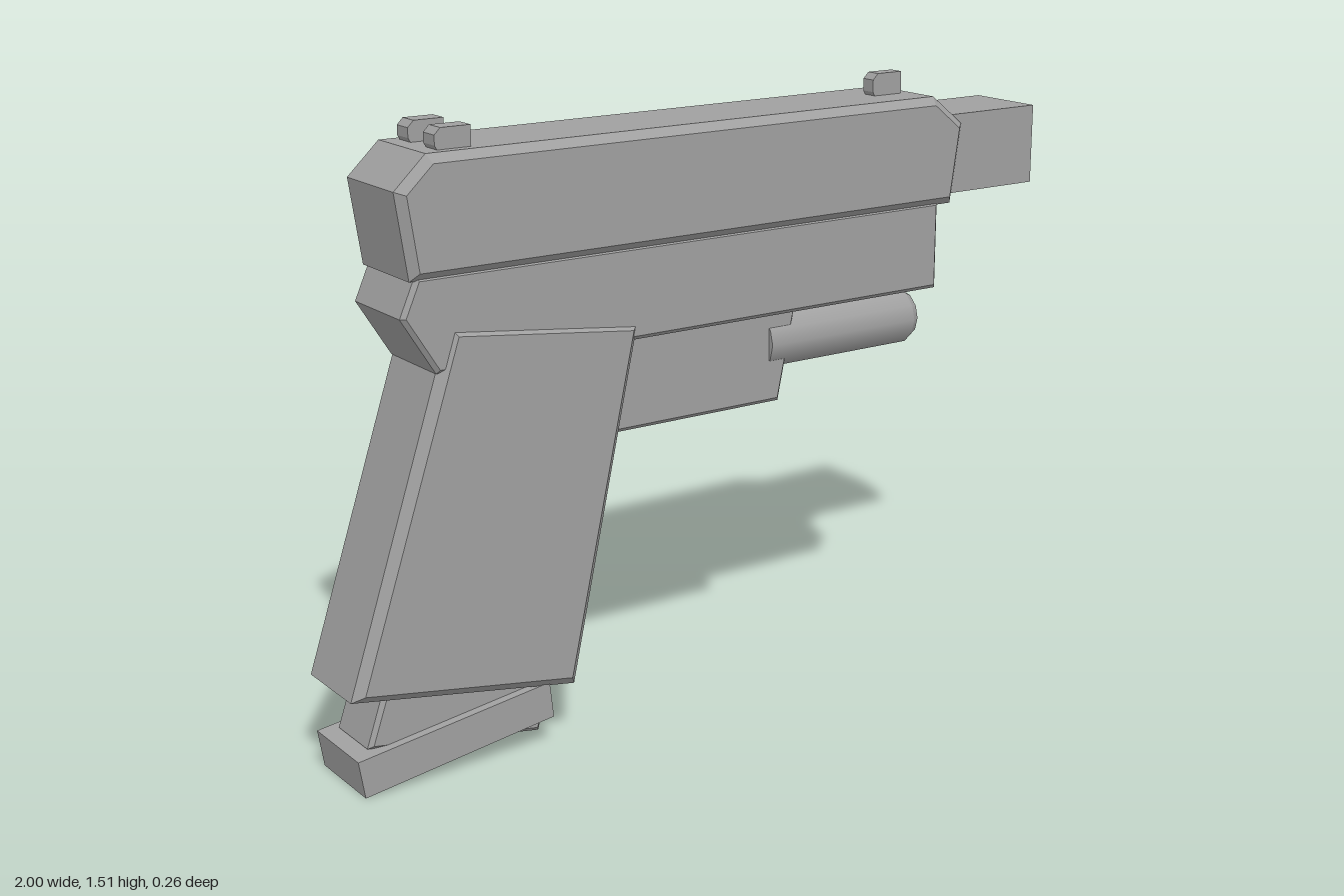
import * as THREE from 'three';

const gray = new THREE.MeshStandardMaterial({ color: 0xa0a0a0 });
gray.name = 'plain gray';

// Side profile extruded symmetrically about z, with an inward chamfer
function plate(name, points, half, bevel) {
  const shape = new THREE.Shape(points.map(([x, y]) => new THREE.Vector2(x, y)));
  const geo = new THREE.ExtrudeGeometry(shape, {
    depth: 2 * (half - bevel),
    bevelEnabled: bevel > 0,
    bevelThickness: bevel,
    bevelSize: bevel,
    bevelOffset: -bevel,
    bevelSegments: 1,
  });
  geo.translate(0, 0, bevel - half);
  const mesh = new THREE.Mesh(geo, gray);
  mesh.name = name;
  return mesh;
}

// Small sight block with a tapered rear end
function sight(name, x, z, half, top) {
  const s = plate(name, [
    [x - 0.045, 1.465], [x - 0.03, 1.44], [x + 0.045, 1.44],
    [x + 0.045, top], [x - 0.03, top], [x - 0.045, top - 0.015],
  ], half, 0);
  s.position.z = z;
  return s;
}

export function createModel() {
  const model = new THREE.Group();
  model.name = 'model';

  // Upper slide
  model.add(plate('slide', [
    [-0.82, 1.18], [0.72, 1.18], [0.75, 1.38], [0.655, 1.455], [-0.77, 1.455], [-0.85, 1.38],
  ], 0.128, 0.02));

  // Square barrel block
  const barrel = new THREE.Mesh(new THREE.BoxGeometry(0.4, 0.2, 0.208), gray);
  barrel.name = 'barrel';
  barrel.position.set(0.8, 1.303, 0);
  model.add(barrel);

  // Lower frame
  model.add(plate('frame', [
    [-0.76, 0.965], [0.68, 0.965], [0.68, 1.19], [-0.805, 1.19], [-0.845, 1.1],
  ], 0.115, 0.01));

  // Slanted grip
  model.add(plate('grip', [
    [-1.0, 0.24], [-0.415, 0.145], [-0.225, 1.01], [-0.725, 1.07],
  ], 0.123, 0.022));

  // Insert and base below the grip
  model.add(plate('gripInsert', [
    [-0.95, 0.105], [-0.5, 0.035], [-0.44, 0.24], [-0.88, 0.31],
  ], 0.082, 0.01));
  model.add(plate('basePlate', [
    [-0.975, 0.003], [-0.475, 0.075], [-0.485, 0.165], [-0.99, 0.095],
  ], 0.105, 0));

  // Block under the frame
  model.add(plate('underBlock', [
    [-0.32, 0.728], [0.225, 0.728], [0.28, 0.99], [-0.32, 0.99],
  ], 0.058, 0.01));

  // Round tube with chamfered front end
  const tube = new THREE.Group();
  tube.name = 'tube';
  const body = new THREE.Mesh(new THREE.CylinderGeometry(0.073, 0.073, 0.455, 12), gray);
  body.name = 'tubeBody';
  const tip = new THREE.Mesh(new THREE.CylinderGeometry(0.062, 0.073, 0.02, 12), gray);
  tip.name = 'tubeTip';
  tip.position.y = 0.2375;
  tube.add(body, tip);
  tube.rotation.z = -Math.PI / 2;
  tube.position.set(0.4175, 0.877, 0);
  model.add(tube);

  // Sights
  for (const side of [-1, 1]) {
    model.add(sight(side > 0 ? 'rearSightRight' : 'rearSightLeft', -0.69, side * 0.06, 0.025, 1.503));
  }
  model.add(sight('frontSight', 0.58, 0, 0.019, 1.51));

  return model;
}
